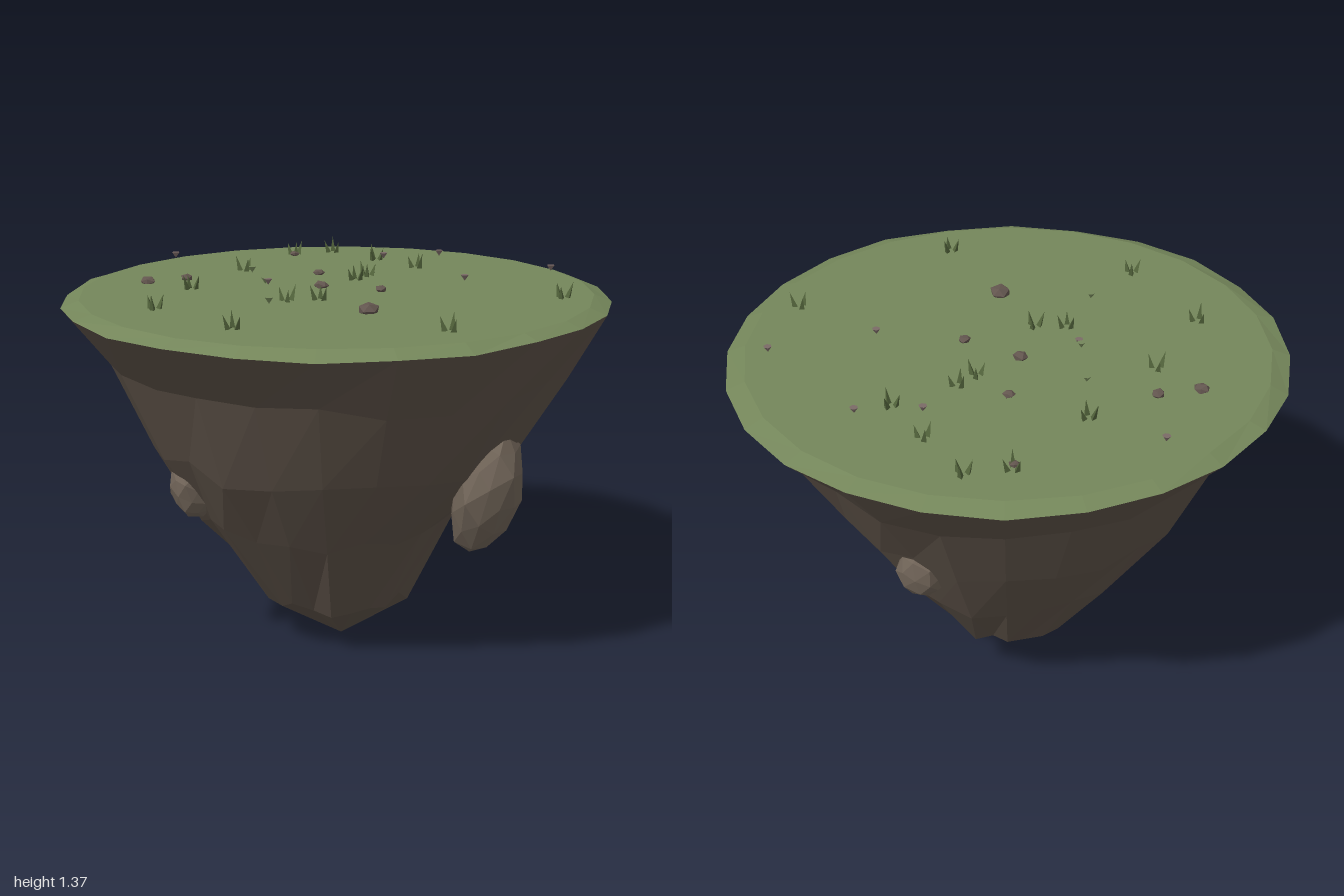
import * as THREE from 'three';

const SIDES = 24;
const TOP = 1.31;

const material = (name, color, extra = {}) => {
  const m = new THREE.MeshStandardMaterial({ color, flatShading: true, ...extra });
  m.name = name;
  return m;
};

function seeded(seed) {
  let s = seed;
  return () => {
    s = (s * 16807) % 2147483647;
    return (s / 2147483647) * 2 - 1;
  };
}

// Skin a list of rings, ordered from top to bottom
function loft(rings) {
  const index = [];
  for (let i = 0; i < rings.length - 1; i++) {
    for (let j = 0; j < SIDES; j++) {
      const a = i * SIDES + j, b = i * SIDES + (j + 1) % SIDES;
      index.push(a, b, b + SIDES, a, b + SIDES, a + SIDES);
    }
  }
  const g = new THREE.BufferGeometry().setFromPoints(rings.flat());
  g.setIndex(index);
  g.computeVertexNormals();
  return g;
}

// Ring whose radius blends between the +x, +z, -x and -z values
function ring(radii, y, rand = () => 0, rJit = 0, yJit = 0) {
  return Array.from({ length: SIDES }, (_, j) => {
    const q = (j / SIDES) * 4, k = Math.floor(q), a = (j / SIDES) * Math.PI * 2;
    const r = THREE.MathUtils.lerp(radii[k], radii[(k + 1) % 4], q - k) + rand() * rJit;
    return new THREE.Vector3(Math.cos(a) * r, y + rand() * yJit, Math.sin(a) * r);
  });
}
const point = (x, y, z) => Array.from({ length: SIDES }, () => new THREE.Vector3(x, y, z));

// Faceted stone: an icosahedron pushed in and out by direction
function stoneGeometry(detail, seed, rough) {
  const g = new THREE.IcosahedronGeometry(1, detail);
  const p = g.attributes.position, v = new THREE.Vector3();
  for (let i = 0; i < p.count; i++) {
    v.fromBufferAttribute(p, i);
    v.multiplyScalar(1 + rough * Math.sin(v.x * 5 + seed) * Math.cos(v.y * 4 - v.z * 3 + seed * 2));
    p.setXYZ(i, v.x, v.y, v.z);
  }
  g.computeVertexNormals();
  return g;
}

export function createModel() {
  const root = new THREE.Group();
  root.name = 'floatingIsland';
  const rock = material('dark rock', 0x5c5147);
  const boulder = material('boulder stone', 0x6f6357);
  const grass = material('grass', 0x74865a);
  const blade = material('grass blade', 0x52633b, { side: THREE.DoubleSide });
  const pebble = material('pebble', 0x62554e);
  const bud = material('flower bud', 0x7a6a66);

  const add = (parent, name, geometry, mat, x = 0, y = 0, z = 0) => {
    const m = new THREE.Mesh(geometry, mat);
    m.name = name;
    m.position.set(x, y, z);
    parent.add(m);
    return m;
  };
  const group = (name) => {
    const g = new THREE.Group();
    g.name = name;
    root.add(g);
    return g;
  };

  // Rock body and grass cap share the uneven rim
  const rand = seeded(4271);
  const rim = ring([0.985, 1, 0.985, 1], 1.285, rand, 0, 0.008);
  add(root, 'rockBody', loft([
    rim,
    ring([0.86, 0.82, 0.81, 0.81], 1.07, rand, 0.015, 0.03),
    ring([0.68, 0.69, 0.65, 0.64], 0.77, rand, 0.018, 0.03),
    ring([0.44, 0.52, 0.48, 0.47], 0.49, rand, 0.02, 0.03),
    ring([0.29, 0.28, 0.25, 0.23], 0.18, rand, 0.025, 0.035),
    point(0.04, 0, 0.03),
  ]), rock);
  add(root, 'grassCap', loft([
    point(0, TOP, 0), ring([0.925, 0.93, 0.925, 0.93], TOP), rim,
  ]), grass);

  // Boulders stuck in the slope: position, radii, tilt
  const boulders = group('boulders');
  [
    [0.665, 0.67, 0.045, 0.115, 0.235, 0.145, 0, -0.28],
    [-0.30, 0.64, 0.48, 0.075, 0.115, 0.09, 0.2, 0.2],
    [-0.13, 0.70, -0.53, 0.095, 0.115, 0.11, -0.35, 0],
  ].forEach(([x, y, z, rx, ry, rz, tx, tz], i) => {
    const m = add(boulders, 'boulder', stoneGeometry(1, i + 1.3, 0.09), boulder, x, y, z);
    m.scale.set(rx, ry, rz);
    m.rotation.set(tx, 0, tz);
  });

  // Pebbles on the grass: x, z, radius
  const pebbles = group('pebbles');
  [
    [-0.08, -0.02, 0.029], [0.14, -0.08, 0.025], [-0.23, -0.22, 0.023], [-0.58, 0.14, 0.026],
    [-0.66, 0.27, 0.03], [0.3, 0.25, 0.042], [-0.54, -0.5, 0.02],
  ].forEach(([x, z, r], i) => {
    const m = add(pebbles, 'pebble', stoneGeometry(0, i, 0.12), pebble, x, TOP + 0.008, z);
    m.scale.set(r, r * 0.6, r * 0.9);
    m.rotation.y = i * 1.7;
  });

  // Grass tufts, each of three leaning blades
  const tufts = group('grassTufts');
  const bladeGeo = new THREE.ConeGeometry(0.012, 0.06, 3).translate(0, 0.03, 0);
  [
    [-0.46, -0.65], [-0.55, -0.52], [-0.22, -0.6], [0, -0.55], [-0.06, -0.3], [-0.06, -0.21],
    [-0.51, -0.13], [0.74, -0.34], [0.04, 0.17], [-0.04, 0.25], [-0.46, 0.27], [0.68, 0.35],
    [-0.34, 0.62], [0.07, 0.72],
  ].forEach(([x, z], i) => {
    const tuft = new THREE.Group();
    tuft.name = 'grassTuft';
    tuft.position.set(x, TOP, z);
    tuft.rotation.y = i * 1.3;
    tufts.add(tuft);
    for (let k = 0; k < 3; k++) {
      const a = k * 2.1;
      const m = add(tuft, 'blade', bladeGeo, blade, Math.cos(a) * 0.018, 0, Math.sin(a) * 0.018);
      m.rotation.set(Math.sin(a) * 0.3, 0, -Math.cos(a) * 0.3);
      m.scale.y = 0.8 + 0.2 * ((i + k) % 3) / 2;
    }
  });

  // Tiny buds, shaped as cones pointing down
  const buds = group('buds');
  const budGeo = new THREE.ConeGeometry(0.015, 0.022, 6).rotateX(Math.PI);
  [
    [0.02, -0.69], [0.53, -0.65], [-0.13, -0.52], [0.36, -0.3], [-0.81, -0.08], [-0.19, 0.16],
    [-0.38, 0], [-0.21, 0.15], [0.01, 0.43],
  ].forEach(([x, z], i) => add(buds, 'bud', budGeo, i < 6 ? bud : grass, x, 1.348, z));

  return root;
}
